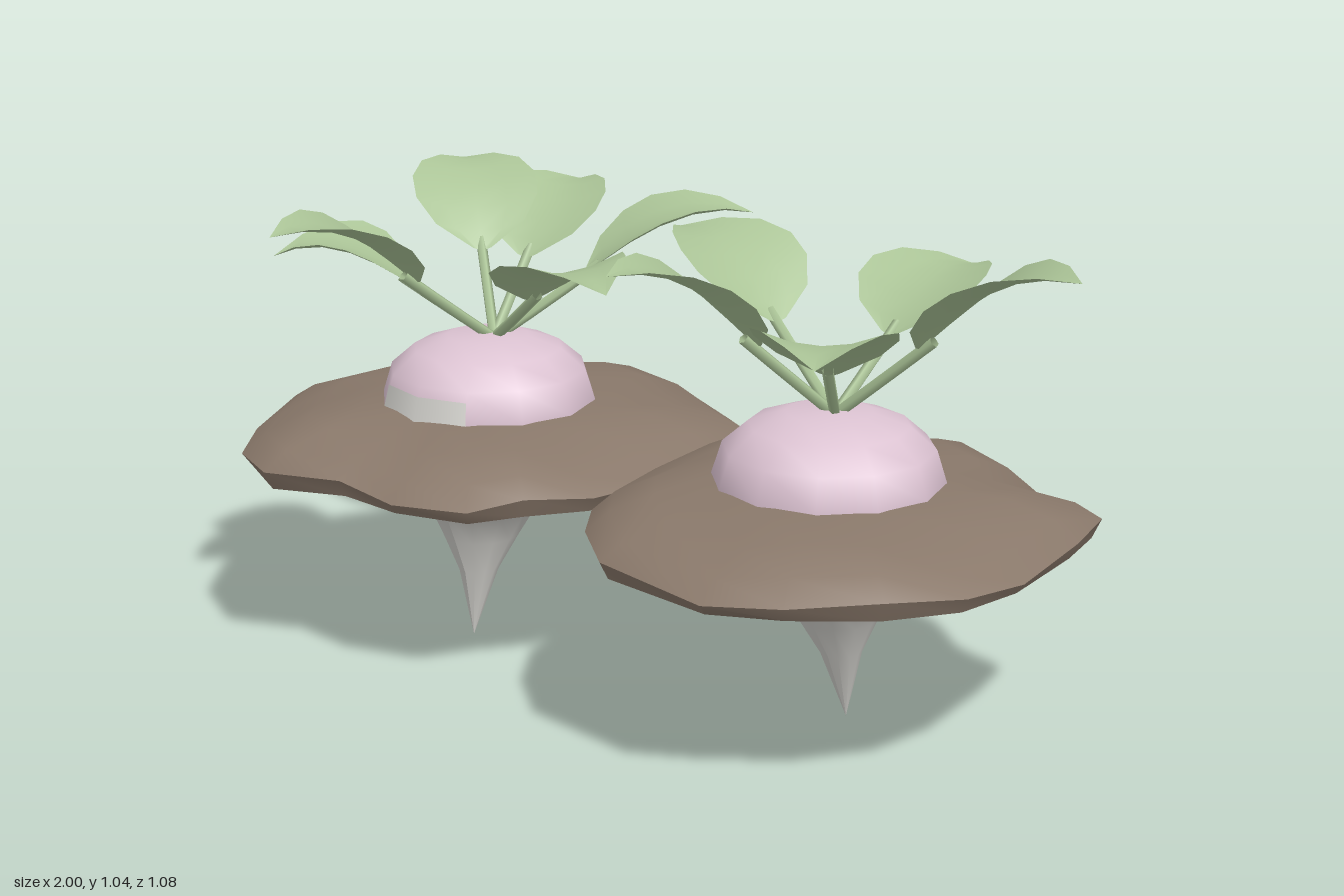
import * as THREE from 'three';
import { toCreasedNormals } from 'three/addons/utils/BufferGeometryUtils.js';

const mat = (name, color, side = THREE.FrontSide) => {
  const m = new THREE.MeshStandardMaterial({ color, side });
  m.name = name;
  return m;
};

const named = (name, geometry, material) => {
  const m = new THREE.Mesh(geometry, material);
  m.name = name;
  return m;
};

const lathe = (pts, segs, start = 0, length = Math.PI * 2) =>
  new THREE.LatheGeometry(pts.map(([r, y]) => new THREE.Vector2(r, y)), segs, start, length);

// Flat lump of soil: one irregular outline, scaled into rings from top to underside
function moundGeometry(outline, cx) {
  const rings = [[0.3, 0.56], [0.5, 0.55], [0.72, 0.532], [0.9, 0.5], [1, 0.462], [0.965, 0.43], [0, 0.43]];
  const n = outline.length, pos = [], index = [];
  rings.forEach(([f, y], i) => outline.forEach(([x, z], j) => {
    const bump = i > 1 && i < 5 ? 0.01 * Math.sin(j * 1.7 + i * 0.6) : 0;
    pos.push((x - cx) * f, y + bump, z * f);
  }));
  for (let i = 0; i < rings.length - 1; i++) {
    for (let j = 0; j < n; j++) {
      const a = i * n + j, c = i * n + (j + 1) % n;
      index.push(a, c, a + n);
      if (i < rings.length - 2) index.push(a + n, c, c + n);
    }
  }
  const g = new THREE.BufferGeometry();
  g.setAttribute('position', new THREE.Float32BufferAttribute(pos, 3));
  g.setIndex(index);
  return toCreasedNormals(g, 0.9);
}

// Tapering root, sheared so that its tip leans along z
function rootGeometry(lean) {
  const g = lathe([[0, 0.005], [0.045, 0.16], [0.085, 0.24], [0.12, 0.305], [0.21, 0.385], [0.237, 0.435], [0.23, 0.5]], 12);
  const p = g.attributes.position;
  for (let i = 0; i < p.count; i++) p.setZ(i, p.getZ(i) + lean * (0.5 - p.getY(i)) / 0.5);
  g.computeVertexNormals();
  return g;
}

// Broad pointed leaf along +x, arched along its length and cupped across
function leafGeometry(r0, y0, r1, y1) {
  const widths = [0.02, 0.1, 0.138, 0.14, 0.112, 0.062, 0];
  const along = [0, 0.1, 0.25, 0.42, 0.62, 0.82, 1];
  const g = new THREE.PlaneGeometry(1, 1, 4, 6);
  const p = g.attributes.position;
  for (let i = 0; i < 7; i++) {
    for (let j = 0; j < 5; j++) {
      const t = along[i], s = j / 2 - 1;
      const y = y0 + (y1 - y0) * t + 0.22 * t * (1 - t);
      p.setXYZ(i * 5 + j, r0 + (r1 - r0) * t, y + 0.22 * widths[i] * s * s, -s * widths[i]);
    }
  }
  g.computeVertexNormals();
  return g;
}

function createPlant({ name, cx, outline, lean, patchAngle, tips }, mats) {
  const plant = new THREE.Group();
  plant.name = name;
  plant.position.x = cx;

  plant.add(named('soilMound', moundGeometry(outline, cx), mats.soil));
  plant.add(named('root', rootGeometry(lean), mats.root));

  const bulb = [[0.235, 0.43], [0.24, 0.55], [0.218, 0.62], [0.165, 0.666], [0.09, 0.692], [0, 0.695]];
  plant.add(named('bulb', lathe(bulb, 12), mats.bulb));

  // Pale patch low on the bulb
  plant.add(named('palePatch',
    lathe([[0.243, 0.54], [0.228, 0.6]], 2, patchAngle - Math.PI / 6, Math.PI / 3), mats.root));

  // Leaves fan out from the crown, each given by its tip position
  const zc = -0.02;
  tips.forEach(([x, y, z]) => {
    const dx = x - cx, dz = z - zc;
    const reach = Math.hypot(dx, dz);
    const r0 = reach * 0.36, y0 = 0.82 + (y - 0.93) * 0.3;
    const leaf = new THREE.Group();
    leaf.name = 'leaf';
    leaf.position.z = zc;
    leaf.rotation.y = Math.atan2(-dz, dx);
    const stemPath = new THREE.QuadraticBezierCurve3(
      new THREE.Vector3(0, 0.68, 0),
      new THREE.Vector3(r0 * 0.5, (0.68 + y0) / 2 - 0.005, 0),
      new THREE.Vector3(r0 + 0.03, y0 + 0.018, 0));
    leaf.add(named('stem', new THREE.TubeGeometry(stemPath, 3, 0.012, 5), mats.leaf));
    leaf.add(named('leafBlade', leafGeometry(r0, y0, reach, y), mats.leaf));
    plant.add(leaf);
  });
  return plant;
}

export function createModel() {
  const mats = {
    soil: mat('soil brown', 0x89786a),
    root: mat('root white', 0xd3d2cd),
    bulb: mat('bulb pink', 0xdcc3d2),
    leaf: mat('leaf green', 0xabc497, THREE.DoubleSide),
  };
  const model = new THREE.Group();
  model.name = 'rootVegetables';

  model.add(createPlant({
    name: 'rightPlant', cx: -0.47, lean: 0.065, patchAngle: 0,
    outline: [[-0.47, -0.545], [-0.3, -0.53], [-0.14, -0.44], [-0.015, -0.35], [0.02, -0.19], [0.02, 0],
      [0, 0.2], [-0.085, 0.32], [-0.145, 0.43], [-0.315, 0.475], [-0.48, 0.46], [-0.64, 0.525],
      [-0.81, 0.43], [-0.915, 0.285], [-1, 0.08], [-0.955, -0.13], [-0.865, -0.35], [-0.66, -0.5]],
    tips: [[-0.615, 0.94, -0.485], [-0.06, 0.95, -0.42], [0.055, 0.91, 0.22],
      [-0.62, 0.98, 0.5], [-0.855, 0.86, 0.27], [-0.855, 0.98, -0.35]],
  }, mats));

  model.add(createPlant({
    name: 'leftPlant', cx: 0.455, lean: -0.08, patchAngle: Math.PI,
    outline: [[0.46, -0.535], [0.63, -0.475], [0.755, -0.375], [0.9, -0.33], [0.93, -0.19], [0.955, 0.05],
      [0.93, 0.21], [0.835, 0.35], [0.69, 0.465], [0.545, 0.535], [0.27, 0.5], [0.135, 0.385],
      [0.03, 0.24], [-0.02, 0.03], [-0.01, -0.16], [0.01, -0.33], [0.19, -0.44], [0.325, -0.51]],
    tips: [[1, 1.035, -0.04], [0.455, 0.89, -0.535], [-0.08, 0.96, -0.19],
      [0.26, 1.03, 0.465], [0.765, 0.94, 0.485]],
  }, mats));

  return model;
}
